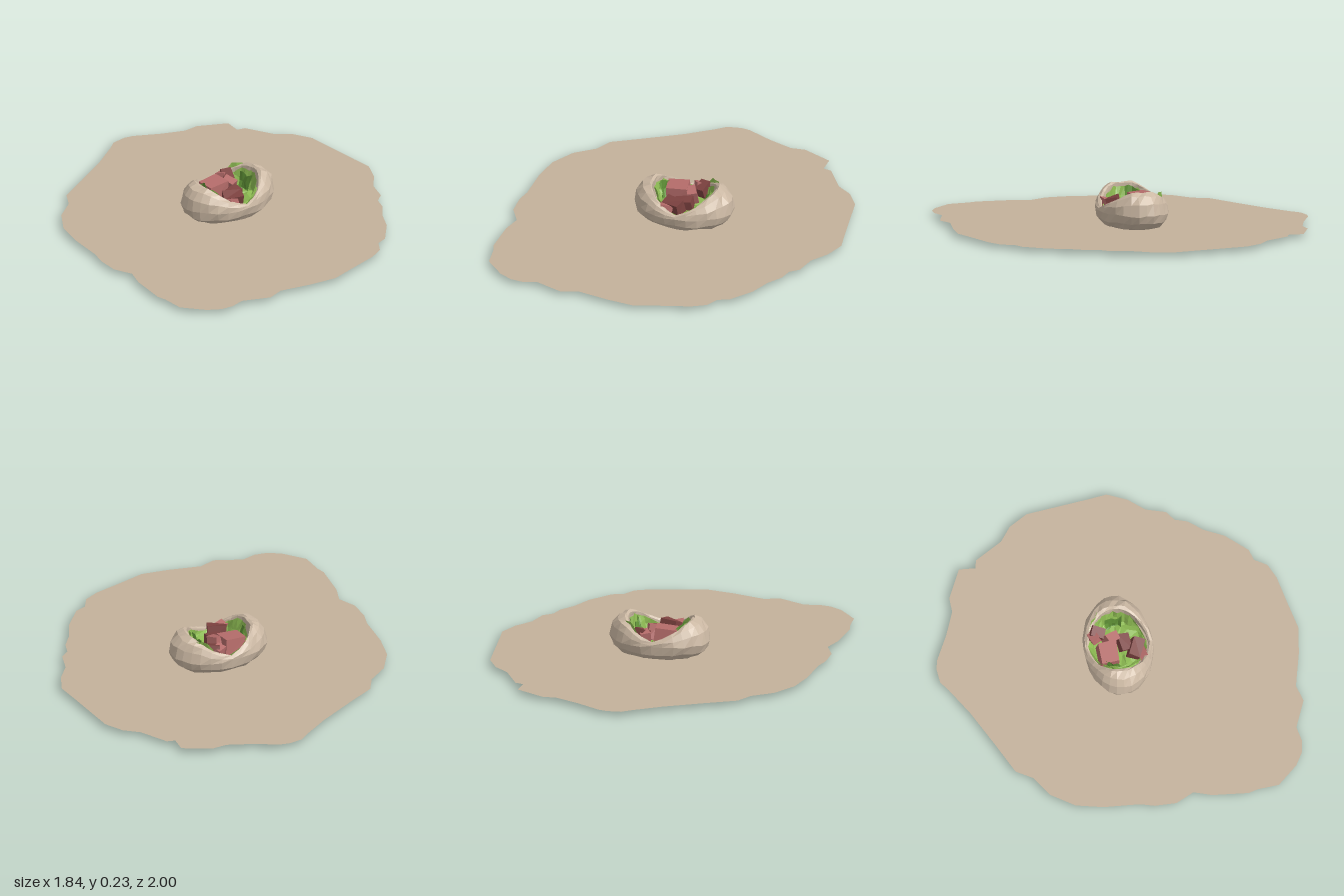
import * as THREE from 'three';

const mat = (name, color, extra = {}) =>
  Object.assign(new THREE.MeshStandardMaterial({ color, flatShading: true, ...extra }), { name });

// Repeatable noise in -1..1 from integer cell numbers
const noise = (a, b, s = 0) => {
  const v = Math.sin(a * 12.99 + b * 78.23 + s * 37.7) * 43758.5;
  return (v - Math.floor(v)) * 2 - 1;
};

// Surface through a grid of points; u runs around, v runs along the profile
function gridSurface(nu, nv, point, closed = true) {
  const pos = [], idx = [], cols = closed ? nu : nu + 1;
  for (let j = 0; j <= nv; j++) for (let i = 0; i < cols; i++) pos.push(...point(i, j));
  for (let j = 0; j < nv; j++) for (let i = 0; i < nu; i++) {
    const k = (i + 1) % cols, a = j * cols + i, b = j * cols + k;
    const c = a + cols, d = b + cols;
    idx.push(a, c, b, b, c, d);
  }
  const g = new THREE.BufferGeometry();
  g.setAttribute('position', new THREE.Float32BufferAttribute(pos, 3));
  g.setIndex(idx);
  g.computeVertexNormals();
  return g;
}

export function createModel() {
  const root = new THREE.Group();
  const crust = mat('crust tan', 0xcbb8a3);
  const flat = mat('sheet tan', 0xc3b19b);
  const dark = mat('dark underside', 0x33291f);
  const green = mat('leaf green', 0x8dbb52, { side: THREE.DoubleSide });
  const deepGreen = mat('deep leaf green', 0x5f9136, { side: THREE.DoubleSide });
  const pink = mat('filling pink', 0xb56c6a);
  const wine = mat('dark filling', 0x7d4240);

  const add = (name, geo, material, parent = root) => {
    const m = new THREE.Mesh(geo, material);
    m.name = name;
    parent.add(m);
    return m;
  };

  // Ragged thin sheet: tan above, dark below
  const edge = [
    .03, -1, .08, -.99, .22, -.92, .35, -.87, .43, -.875, .59, -.8, .585, -.71, .63, -.7, .72, -.55,
    .8, -.49, .86, -.39, .88, -.22, .9, -.05, .915, .06, .87, .17, .8, .26, .77, .37, .72, .41,
    .7, .48, .64, .56, .59, .67, .49, .79, .43, .81, .39, .88, .31, .92, .15, .96, 0, 1,
    -.15, .98, -.33, .94, -.42, .97, -.57, .91, -.65, .93, -.72, .92, -.79, .88, -.89, .77, -.9, .65,
    -.915, .6, -.9, .4, -.87, .3, -.92, .2, -.92, .08, -.9, 0, -.89, -.2, -.86, -.35, -.78, -.48,
    -.67, -.56, -.62, -.65, -.45, -.74, -.25, -.85, -.1, -.95, -.05, -.99];
  const outline = new THREE.Shape();
  for (let i = 0; i < edge.length; i += 2) outline[i ? 'lineTo' : 'moveTo'](edge[i], -edge[i + 1]);
  outline.closePath();
  const sheetTop = new THREE.ShapeGeometry(outline).rotateX(-Math.PI / 2).translate(0, .025, 0);
  add('sheetTop', sheetTop, flat);
  const under = new THREE.ShapeGeometry(outline).rotateX(-Math.PI / 2).translate(0, .02, 0);
  under.setIndex([...under.index.array].reverse());
  under.computeVertexNormals();
  add('sheetUnderside', under, dark);

  // Oval foot beneath the bun
  add('foot', new THREE.CylinderGeometry(1, .97, .022, 28).scale(.21, 1, .12).translate(0, .011, 0), dark);

  // Rim of the opening: tall at both ends, low at front and back
  const N = 28;
  const rimAt = (t) => {
    const e = Math.pow(Math.abs(Math.cos(t)), 1.25);
    return { h: .135 + .095 * Math.min(1, e * 1.2), r: .9 - .24 * e };
  };
  const place = (t, r, y) => [Math.cos(t) * .282 * r, y, -Math.sin(t) * .192 * r];

  // Bun shell: underside, bulging wall, rolled rim, hollow inside
  const bunPoint = (i, j) => {
    const t = i / N * Math.PI * 2, { h, r } = rimAt(t);
    const bulge = (a) => [r + (1 - r) * Math.cos(a), .11 + (h - .11) * Math.sin(a)];
    const profile = [
      [0, .062], [.5, .062], [r - .02, .1], [r - .03, h - .03], [r - .03, h - .008],
      bulge(1.5), bulge(1.05), bulge(.55), [1, .11], [.95, .065], [.82, .034], [.7, .024], [0, .024]];
    const [pr, py] = profile[j];
    const k = j === 0 || j > 10 ? 0 : 1;
    return place(t, pr * (1 + k * .02 * noise(i, j)), py + k * .005 * noise(i, j, 2));
  };
  add('bun', gridSurface(N, 12, bunPoint), crust);

  // Crumpled leaf lining, in arcs around the hollow
  const leaves = new THREE.Group();
  leaves.name = 'leaves';
  root.add(leaves);
  const leaf = (name, from, to, lift, inset, material, seed) => {
    const n = Math.max(5, Math.round((to - from) * 5));
    add(name, gridSurface(n, 4, (i, j) => {
      const t = from + (to - from) * i / n, { h, r } = rimAt(t);
      const end = Math.sin(Math.PI * i / n);
      const top = h + lift * end - .025 * (1 - end);
      const k = j / 4;
      const rr = (r - inset) * (.55 + .45 * Math.sqrt(k)) + .035 * noise(i, j, seed);
      return place(t, rr, .085 + (top - .085) * k * k + .009 * noise(i, j, seed + 3));
    }, false), material, leaves);
  };
  leaf('endLeaf', -.9, 1.0, -.02, .08, green, 1);
  leaf('backLeaf', .75, 2.5, -.005, .07, green, 2);
  leaf('farEndLeaf', 2.2, 4.1, -.02, .09, green, 3);
  leaf('frontLeaf', 3.9, 5.6, -.01, .08, green, 4);
  leaf('innerLeaf', 2.1, 3.1, -.015, .16, deepGreen, 5);
  leaf('innerEndLeaf', -.4, .6, -.04, .17, deepGreen, 6);
  leaf('overhangLeaf', .55, 1.3, .025, -.03, green, 7);

  // Leafy bed under the filling
  add('leafBed', gridSurface(16, 3, (i, j) => {
    const t = i / 16 * Math.PI * 2;
    return place(t, j * .22, .105 + (j ? .012 * noise(i, j, 9) : 0));
  }), green, leaves);

  // Chunks of filling: boxes with shifted corners
  const filling = new THREE.Group();
  filling.name = 'filling';
  root.add(filling);
  [ // x, y, z, width, height, depth, turn, tilt, material
    [-.055, .135, -.06, .12, .11, .11, .05, .04, pink],
    [-.035, .13, .09, .11, .09, .07, -.35, .3, wine],
    [-.07, .125, .13, .07, .07, .05, .3, -.2, pink],
    [.035, .145, -.04, .05, .09, .07, .4, .3, pink],
    [.075, .155, -.11, .06, .06, .08, -.3, .4, wine],
    [.05, .15, -.125, .05, .06, .05, .5, -.2, pink],
    [.01, .12, .03, .09, .08, .06, .2, .2, wine],
  ].forEach(([x, y, z, w, h, d, turn, tilt, material], n) => {
    const g = new THREE.BoxGeometry(w, h, d);
    const p = g.attributes.position;
    for (let i = 0; i < p.count; i++) {
      const c = (p.getX(i) > 0) + 2 * (p.getY(i) > 0) + 4 * (p.getZ(i) > 0);
      p.setXYZ(i, p.getX(i) * (1 + .15 * noise(c, n)), p.getY(i) * (1 + .12 * noise(c, n, 1)), p.getZ(i) * (1 + .15 * noise(c, n, 2)));
    }
    g.computeVertexNormals();
    const m = add('chunk' + (n + 1), g, material, filling);
    m.position.set(x, y, z);
    m.rotation.set(tilt, turn, tilt * .5);
  });

  return root;
}
